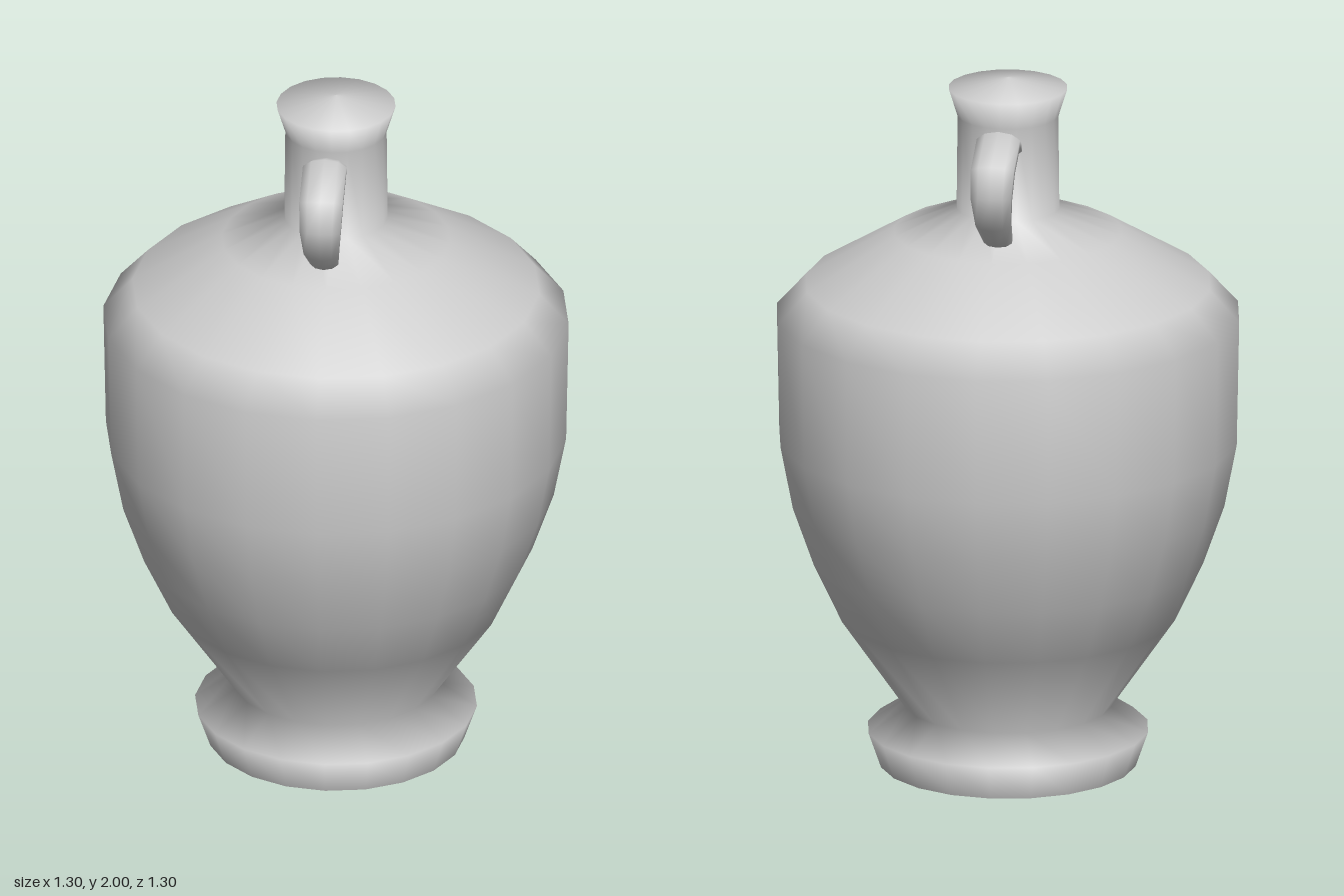
import * as THREE from 'three';

const material = new THREE.MeshStandardMaterial({ color: 0xcccccc, side: THREE.DoubleSide });

// Foot (open below), belly, shoulder, neck, flared lip and stopper: [radius, height]
const PROFILE = [
  [0.36, 0], [0.395, 0.1], [0.29, 0.17], [0.47, 0.43], [0.55, 0.6], [0.61, 0.77],
  [0.645, 0.95], [0.652, 1.31], [0.57, 1.4], [0.32, 1.55], [0.145, 1.62],
  [0.142, 1.89], [0.167, 1.97], [0, 2],
];

// Handle rings, neck to shoulder: [outer z, outer y, inner z, inner y, half width]
const HANDLE_RINGS = [
  [0.11, 1.86, 0.11, 1.79, 0.055],
  [0.215, 1.905, 0.21, 1.84, 0.064],
  [0.36, 1.845, 0.295, 1.80, 0.064],
  [0.393, 1.76, 0.32, 1.74, 0.06],
  [0.35, 1.655, 0.28, 1.68, 0.052],
  [0.25, 1.577, 0.195, 1.605, 0.042],
  [0.21, 1.54, 0.16, 1.57, 0.038],
];

// Tapering elliptical strap swept through the rings
function handleGeometry(sides = 10) {
  const positions = [];
  const index = [];
  HANDLE_RINGS.forEach(([oz, oy, iz, iy, halfWidth], r) => {
    for (let s = 0; s < sides; s++) {
      const a = (s / sides) * Math.PI * 2;
      const c = Math.cos(a) / 2;
      positions.push(
        Math.sin(a) * halfWidth,
        (oy + iy) / 2 + c * (oy - iy),
        (oz + iz) / 2 + c * (oz - iz),
      );
      if (r === 0) continue;
      const next = (s + 1) % sides;
      const p = (r - 1) * sides;
      const q = r * sides;
      index.push(p + s, q + s, p + next, p + next, q + s, q + next);
    }
  });
  const geometry = new THREE.BufferGeometry();
  geometry.setAttribute('position', new THREE.Float32BufferAttribute(positions, 3));
  geometry.setIndex(index);
  geometry.computeVertexNormals();
  return geometry;
}

export function createModel() {
  const group = new THREE.Group();
  group.name = 'amphora';

  const points = PROFILE.map(([r, y]) => new THREE.Vector2(r, y));
  const vessel = new THREE.Mesh(new THREE.LatheGeometry(points, 20), material);
  vessel.name = 'vessel';
  group.add(vessel);

  // Matching handles in front of and behind the neck
  const strap = handleGeometry();
  for (const [name, x, turn] of [['frontHandle', -0.014, 0], ['backHandle', -0.003, Math.PI]]) {
    const handle = new THREE.Mesh(strap, material);
    handle.name = name;
    handle.position.x = x;
    handle.rotation.y = turn;
    group.add(handle);
  }
  return group;
}
